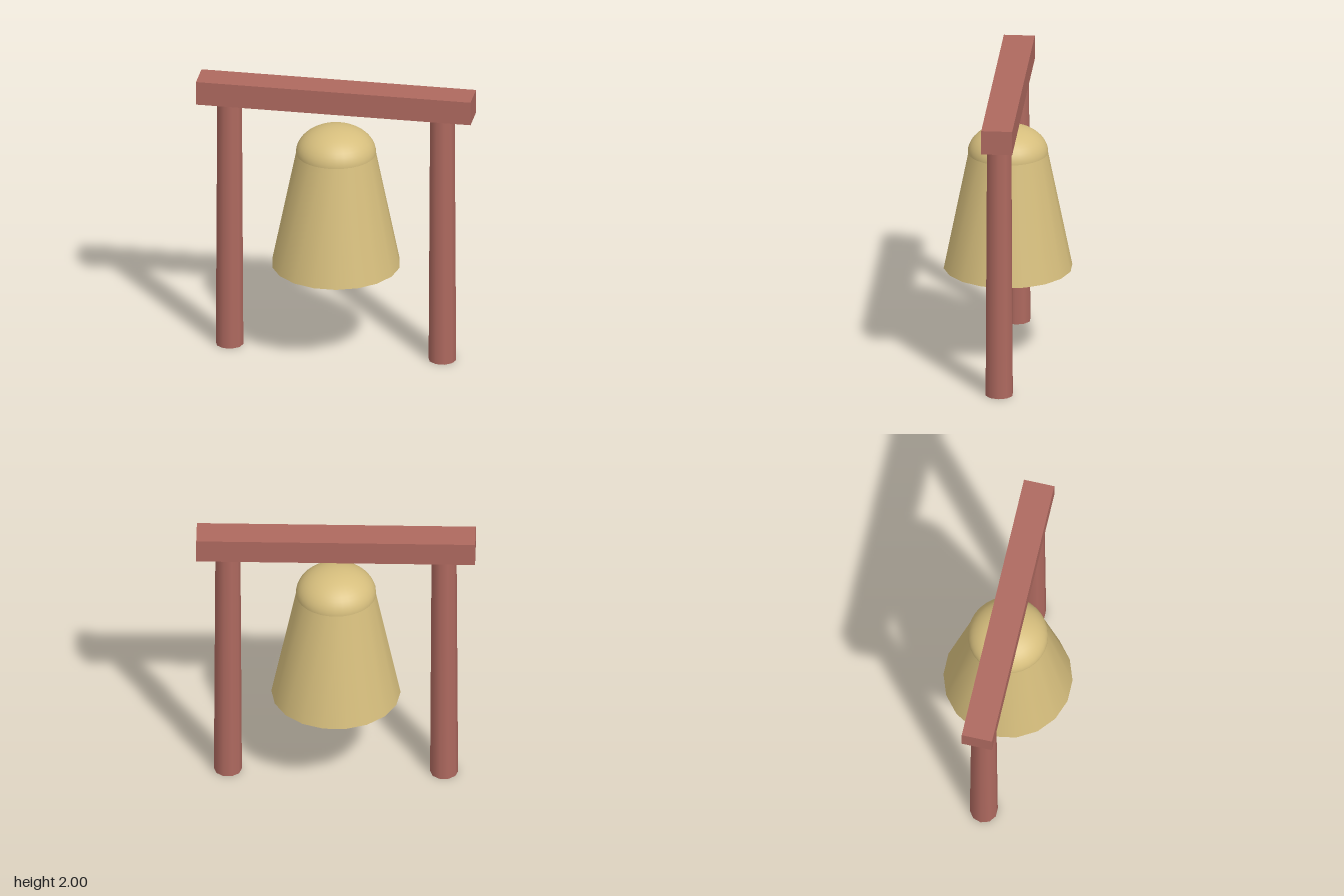
import * as THREE from 'three';

const wood = new THREE.MeshStandardMaterial({ name: 'red wood', color: 0xae695f });
const brass = new THREE.MeshStandardMaterial({ name: 'pale brass', color: 0xd6be7d });

export function createModel() {
  const model = new THREE.Group();
  model.name = 'hangingBell';

  const add = (name, geometry, material, x, y) => {
    const mesh = new THREE.Mesh(geometry, material);
    mesh.name = name;
    mesh.position.set(x, y, 0);
    model.add(mesh);
    return mesh;
  };

  // Crossbeam
  add('crossbeam', new THREE.BoxGeometry(1.912, 0.17, 0.213), wood, 0, 1.915);

  // Slightly tapered posts, with a corner of the ten sides pointing along x
  for (const [name, side] of [['leftPost', 1], ['rightPost', -1]]) {
    const post = new THREE.CylinderGeometry(0.086, 0.096, 1.83, 10).rotateY(Math.PI / 2);
    add(name, post, wood, side * 0.741, 0.915);
  }

  // Flared bell body, closed underneath
  const body = new THREE.CylinderGeometry(0.273, 0.443, 0.84, 18).rotateY(Math.PI / 2);
  add('bellBody', body, brass, 0, 1.085);

  // Flattened dome on top of the bell
  const dome = new THREE.SphereGeometry(0.276, 32, 12, 0, Math.PI * 2, 0, Math.PI / 2);
  dome.scale(1, 0.19 / 0.276, 1);
  add('bellDome', dome, brass, 0, 1.5);

  return model;
}
